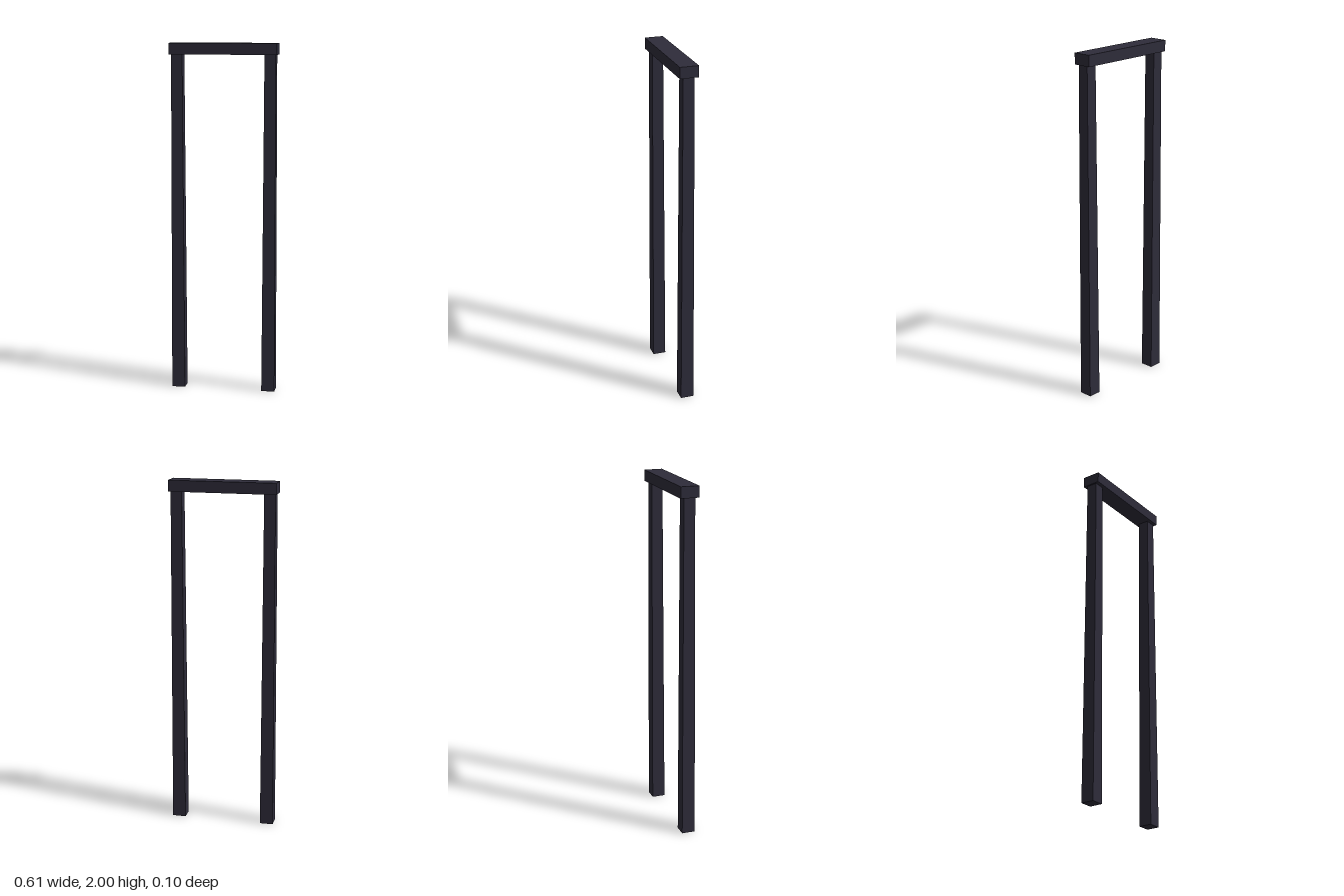
import * as THREE from 'three';

const TOP = 2, BEAM_H = 0.063, LEG_H = TOP - BEAM_H;

export function createModel() {
  const group = new THREE.Group();
  const charcoal = new THREE.MeshStandardMaterial({ color: 0x2e2c3a, flatShading: true });
  charcoal.name = 'charcoal';

  // Crossbeam resting on the two posts
  const beam = new THREE.Mesh(new THREE.BoxGeometry(0.608, BEAM_H, 0.105), charcoal);
  beam.name = 'crossbeam';
  beam.position.y = TOP - BEAM_H / 2;
  group.add(beam);

  // Square post, slightly narrower at the top
  const postGeometry = new THREE.BoxGeometry(0.076, LEG_H, 0.076);
  const p = postGeometry.attributes.position;
  for (let i = 0; i < p.count; i++) {
    if (p.getY(i) > 0) {
      p.setX(i, p.getX(i) * 0.83);
      p.setZ(i, p.getZ(i) * 0.83);
    }
  }
  postGeometry.computeVertexNormals();

  for (const side of [-1, 1]) {
    const post = new THREE.Mesh(postGeometry, charcoal);
    post.name = side > 0 ? 'leftPost' : 'rightPost';
    post.position.set(side * 0.264, LEG_H / 2, 0);
    group.add(post);
  }
  return group;
}
